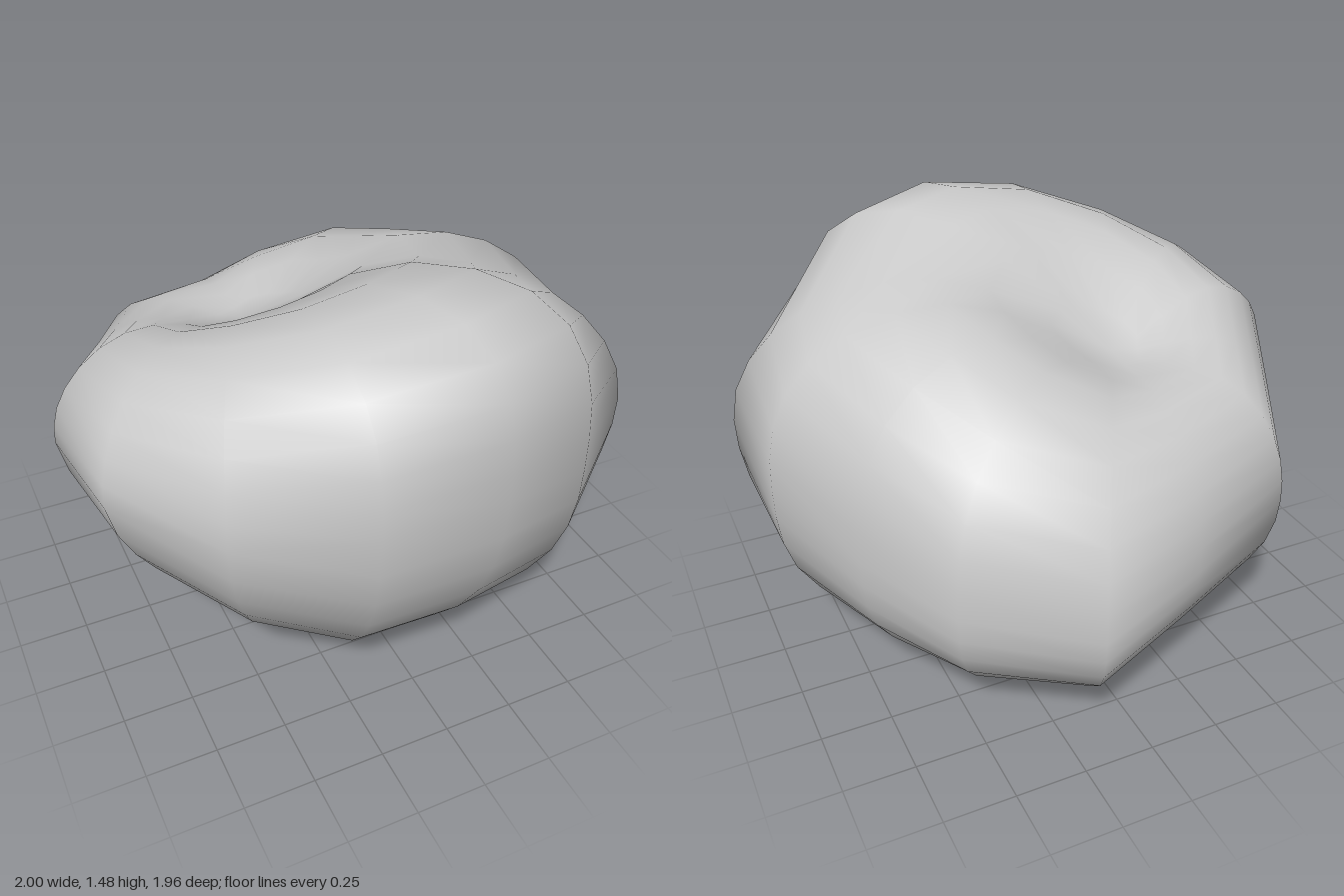
import * as THREE from 'three';
import { mergeVertices } from 'three/addons/utils/BufferGeometryUtils.js';

// One row per meridian, clockwise from the back:
// widest point x, z, y, then roundness of the upper and lower half (2 = ellipse)
const MERIDIANS = [
  [0.18, -0.98, 0.50, 2.2, 2.4],
  [0.58, -0.74, 0.55, 2.7, 2.5],
  [0.78, -0.38, 0.59, 2.7, 2.8],
  [0.97, 0.00, 0.70, 2.5, 2.8],
  [1.00, 0.45, 0.76, 1.85, 2.5],
  [0.59, 0.80, 0.80, 3.2, 2.5],
  [0.18, 0.96, 0.92, 3.4, 2.2],
  [-0.27, 0.98, 0.95, 2.8, 2.1],
  [-0.67, 0.76, 0.88, 2.5, 1.75],
  [-0.95, 0.43, 0.90, 2.15, 1.5],
  [-1.00, 0.00, 0.88, 2.3, 1.55],
  [-0.83, -0.35, 0.76, 2.4, 1.8],
  [-0.66, -0.69, 0.64, 2.4, 2.1],
  [-0.24, -0.84, 0.56, 2.3, 2.2],
];
const HALF_STEPS = 10;
const TOP = { x: -0.24, z: -0.18 };
const BASE = { x: -0.12, z: 0.03 };

// Smooth dent around a centre
const dent = (x, z, c, radius) => Math.exp(-((x - c.x) ** 2 + (z - c.z) ** 2) / radius ** 2);

function pointOn([ox, oz, oy, nTop, nBase], ring) {
  const upper = ring <= HALF_STEPS;
  const t = upper ? ring / HALF_STEPS : 2 - ring / HALF_STEPS;
  const n = upper ? nTop : nBase;
  const c = upper ? TOP : BASE;
  // Superellipse sampled at even angles
  const sin = Math.sin(t * Math.PI / 2);
  const cos = t === 1 ? 0 : Math.cos(t * Math.PI / 2);
  const scale = (sin ** n + cos ** n) ** (-1 / n);
  const w = sin * scale;
  const f = cos * scale;
  const x = c.x + (ox - c.x) * w;
  const z = c.z + (oz - c.z) * w;
  // Top leans down towards the back; both poles are dimpled
  const y = upper
    ? oy + (1.385 + 0.26 * z + 0.09 * x - oy) * f - 0.24 * dent(x, z, TOP, 0.37)
    : oy * (1 - f) + 0.05 * dent(x, z, BASE, 0.12);
  return [x, y, z];
}

function bodyGeometry() {
  const count = MERIDIANS.length;
  const rings = HALF_STEPS * 2;
  const positions = [];
  const indices = [];
  for (let i = 0; i <= rings; i++) {
    for (const m of MERIDIANS) positions.push(...pointOn(m, i));
  }
  for (let i = 0; i < rings; i++) {
    for (let j = 0; j < count; j++) {
      const k = (j + 1) % count;
      const a = i * count + j, b = i * count + k;
      if (i > 0) indices.push(a, b, a + count);
      if (i < rings - 1) indices.push(b, b + count, a + count);
    }
  }
  const raw = new THREE.BufferGeometry();
  raw.setAttribute('position', new THREE.Float32BufferAttribute(positions, 3));
  raw.setIndex(indices);
  const geometry = mergeVertices(raw, 1e-4);
  // Rest on the ground
  geometry.computeBoundingBox();
  geometry.translate(0, -geometry.boundingBox.min.y, 0);
  geometry.computeVertexNormals();
  return geometry;
}

export function createModel() {
  const group = new THREE.Group();
  group.name = 'dimpledPebble';
  const body = new THREE.Mesh(bodyGeometry(), new THREE.MeshStandardMaterial({ color: 0xcccccc }));
  body.name = 'body';
  group.add(body);
  return group;
}
